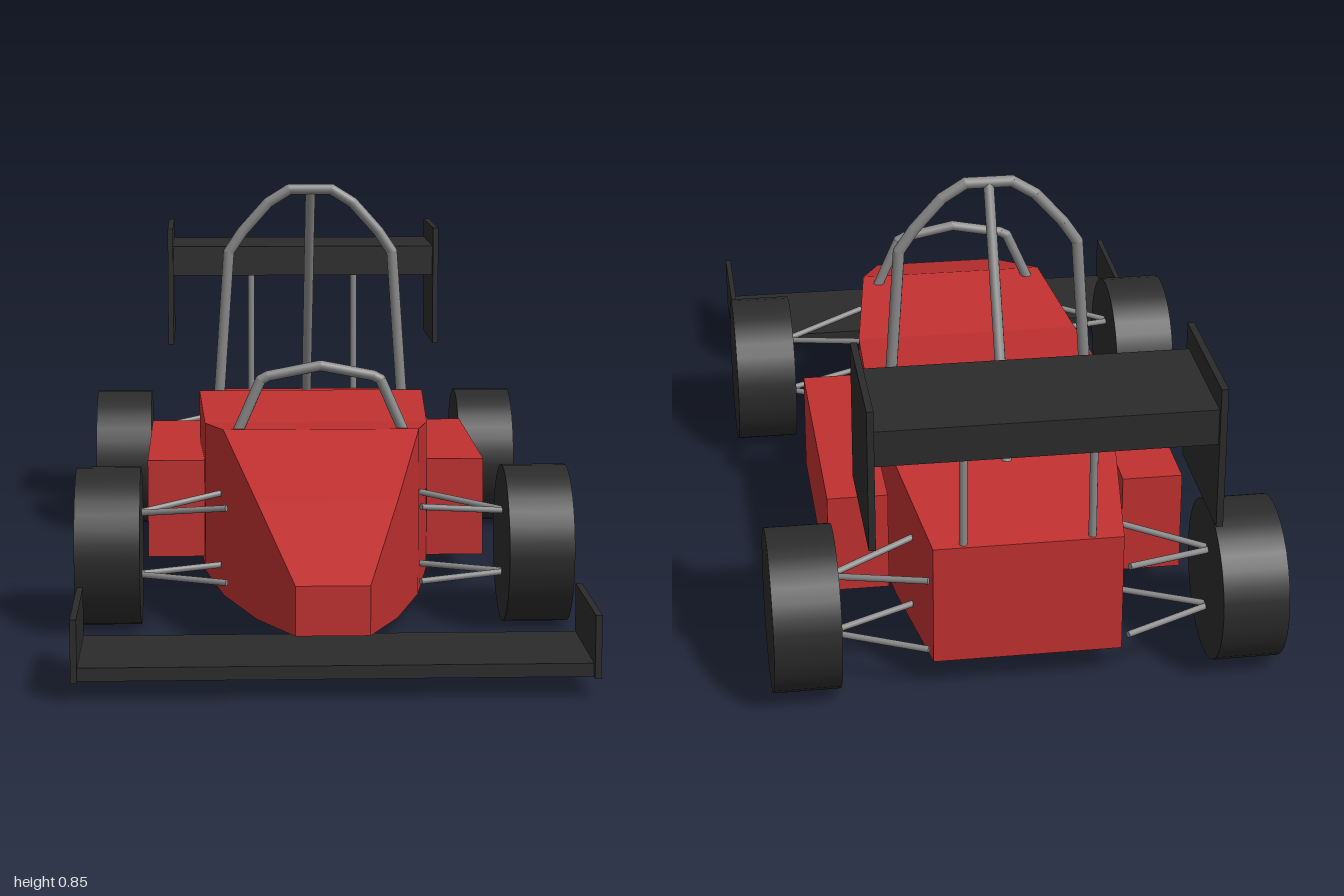
import * as THREE from 'three';

export function createModel() {
  const car = new THREE.Group();
  car.name = 'openWheelRaceCar';

  const material = (name, color) => {
    const m = new THREE.MeshStandardMaterial({ color });
    m.name = name;
    return m;
  };
  const red = material('redPaint', 0xc03030);
  const black = material('blackRubberAndWing', 0x2b2b2b);
  const steel = material('greySteel', 0x888888);

  const add = (name, geometry, mat, parent = car) => {
    const mesh = new THREE.Mesh(geometry, mat);
    mesh.name = name;
    parent.add(mesh);
    return mesh;
  };
  const box = (name, w, h, d, x, y, z, mat) =>
    add(name, new THREE.BoxGeometry(w, h, d), mat).position.set(x, y, z);

  // Straight round bar between two points
  const up = new THREE.Vector3(0, 1, 0);
  const bar = (name, a, b, r, parent = car) => {
    const p = new THREE.Vector3(...a);
    const q = new THREE.Vector3(...b);
    const dir = q.clone().sub(p);
    const mesh = add(name, new THREE.CylinderGeometry(r, r, dir.length(), 12), steel, parent);
    mesh.position.copy(p).add(q).multiplyScalar(0.5);
    mesh.quaternion.setFromUnitVectors(up, dir.normalize());
  };

  // Bent hoop mirrored about x = 0, with rounded joints
  const hoop = (name, half, z, r) => {
    const group = new THREE.Group();
    group.name = name;
    car.add(group);
    const mirrored = half.map(([x, y]) => [-x, y]).reverse().filter(([x]) => x !== 0);
    const pts = [...half, ...mirrored].map(([x, y]) => [x, y, z]);
    for (let i = 0; i < pts.length - 1; i++) {
      bar('hoopTube', pts[i], pts[i + 1], r, group);
      if (i > 0) add('hoopJoint', new THREE.SphereGeometry(r, 12, 8), steel, group).position.set(...pts[i]);
    }
  };

  // Faceted body from rectangular sections: z, half width, bottom, top
  const sections = [
    [0.85, 0.07, 0.085, 0.18],
    [0.6, 0.138, 0.06, 0.295],
    [0.32, 0.2, 0.045, 0.39],
    [0.05, 0.238, 0.04, 0.362],
    [-0.24, 0.25, 0.04, 0.39],
    [-0.5, 0.224, 0.045, 0.347],
    [-0.8, 0.185, 0.065, 0.313],
  ];
  const rings = sections.map(([z, w, b, t]) => [[-w, b, z], [w, b, z], [w, t, z], [-w, t, z]]);
  const verts = [];
  const quad = (a, b, c, d) => verts.push(...a, ...b, ...c, ...a, ...c, ...d);
  quad(...rings[0]);
  for (let s = 0; s < rings.length - 1; s++) {
    for (let i = 0; i < 4; i++) {
      const j = (i + 1) % 4;
      quad(rings[s][i], rings[s + 1][i], rings[s + 1][j], rings[s][j]);
    }
  }
  quad(...[...rings[rings.length - 1]].reverse());
  const bodyGeometry = new THREE.BufferGeometry();
  bodyGeometry.setAttribute('position', new THREE.Float32BufferAttribute(verts, 3));
  bodyGeometry.computeVertexNormals();
  add('body', bodyGeometry, red);

  // Wings
  box('frontWing', 0.95, 0.025, 0.25, 0, 0.05, 0.86, black);
  box('rearWing', 0.64, 0.07, 0.26, 0, 0.635, -0.86, black);

  const wheelGeometry = new THREE.CylinderGeometry(0.16, 0.16, 0.13, 32).rotateZ(Math.PI / 2);

  for (const side of [1, -1]) {
    const label = side > 0 ? 'left' : 'right';
    box(label + 'SidePod', 0.122, 0.21, 0.556, side * 0.3, 0.175, -0.233, red);
    box(label + 'FrontEndPlate', 0.012, 0.118, 0.27, side * 0.475, 0.096, 0.865, black);
    box(label + 'RearEndPlate', 0.013, 0.28, 0.29, side * 0.32, 0.575, -0.855, black);
    bar(label + 'RearWingStrut', [side * 0.125, 0.29, -0.787], [side * 0.125, 0.61, -0.787], 0.0075 * 1.6 / 1.5);

    // Wheels with upper and lower V-shaped suspension arms
    for (const [end, z] of [['Front', 0.36], ['Rear', -0.72]]) {
      add(label + end + 'Wheel', wheelGeometry, black).position.set(side * 0.432, 0.16, z);
      for (const dz of [0.09, -0.09]) {
        bar(label + end + 'UpperArm', [side * 0.195, 0.252, z + dz], [side * 0.38, 0.226, z], 0.0065);
        bar(label + end + 'LowerArm', [side * 0.195, 0.1, z + dz], [side * 0.38, 0.1, z], 0.0065);
      }
    }
  }

  // Roll hoops and rear brace
  hoop('mainRollHoop', [[0.206, 0.37], [0.183, 0.7], [0.153, 0.745], [0.095, 0.81], [0.047, 0.84]], -0.26, 0.012);
  hoop('frontRollHoop', [[0.175, 0.37], [0.123, 0.488], [0.108, 0.496], [0, 0.517]], 0.29, 0.011);
  bar('rollHoopBrace', [0, 0.835, -0.262], [0, 0.34, -0.515], 0.011);

  return car;
}
